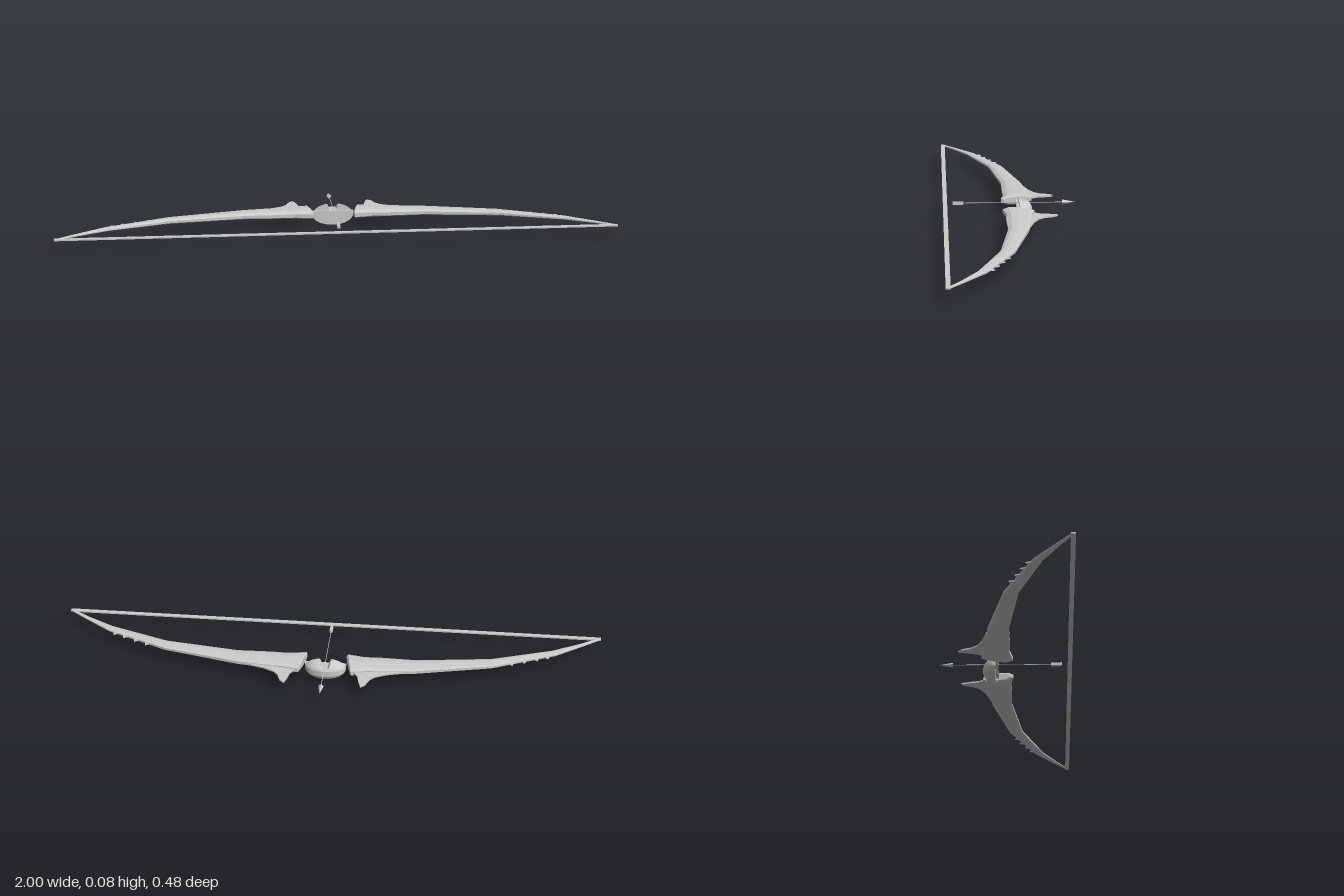
import * as THREE from 'three';
import { toCreasedNormals } from 'three/addons/utils/BufferGeometryUtils.js';

const grey = new THREE.MeshStandardMaterial({ color: 0xcccccc });
const flat = new THREE.MeshStandardMaterial({ color: 0xcccccc, flatShading: true, side: THREE.DoubleSide });
const LIMB_Y = 0.053;

function add(parent, name, geometry, material, x = 0, y = 0, z = 0) {
  const mesh = new THREE.Mesh(geometry, material);
  mesh.name = name;
  mesh.position.set(x, y, z);
  parent.add(mesh);
  return mesh;
}

// Lofts a bevelled section along the limb; each station: outer x,z, inner x,z, half height
function limbGeometry() {
  const stations = [
    [0.094, -0.088, 0.072, 0.012, 0.013],
    [0.097, -0.09, 0.075, 0.024, 0.0175],
    [0.155, -0.078, 0.14, 0.013, 0.0165],
    [0.2, -0.075, 0.2, 0.016, 0.0145],
    [0.325, -0.06, 0.33, 0.014, 0.0125],
    [0.6, 0.002, 0.6, 0.052, 0.0095],
    [0.83, 0.103, 0.82, 0.132, 0.006],
    [0.93, 0.175, 0.92, 0.188, 0.004],
    [0.995, 0.224, 0.985, 0.23, 0.003],
  ];
  // Position across the limb (0 outer, 1 inner) and relative height
  const section = [[0, 0.45], [0.15, 0.75], [0.55, 1], [0.82, 0.9], [1, 0.4],
    [1, -0.4], [0.82, -0.9], [0.55, -1], [0.15, -0.75], [0, -0.45]];
  const n = section.length;
  const position = [];
  const index = [];
  for (const [ox, oz, ix, iz, h] of stations) {
    for (const [t, v] of section) position.push(ox + (ix - ox) * t, v * h, oz + (iz - oz) * t);
  }
  for (let s = 0; s < stations.length - 1; s++) {
    for (let k = 0; k < n; k++) {
      const a = s * n + k, b = s * n + (k + 1) % n;
      index.push(a, b, a + n, b, b + n, a + n);
    }
  }
  const last = (stations.length - 1) * n;
  for (let k = 1; k < n - 1; k++) {
    index.push(0, k + 1, k, last, last + k, last + k + 1);
  }
  const geometry = new THREE.BufferGeometry();
  geometry.setAttribute('position', new THREE.Float32BufferAttribute(position, 3));
  geometry.setIndex(index);
  geometry.computeVertexNormals();
  return geometry;
}

// Thin fin drawn in the x-z plane
function finGeometry(points, thickness) {
  const shape = new THREE.Shape(points.map(([x, z]) => new THREE.Vector2(x, -z)));
  const geometry = new THREE.ExtrudeGeometry(shape, { depth: thickness, bevelEnabled: false });
  geometry.translate(0, 0, -thickness / 2);
  return geometry.rotateX(-Math.PI / 2);
}

function makeLimb(name) {
  const limb = new THREE.Group();
  limb.name = name;
  add(limb, 'limbBody', limbGeometry(), flat);
  add(limb, 'limbSpike', finGeometry([
    [0.098, -0.075], [0.11, -0.092], [0.122, -0.108], [0.128, -0.14], [0.138, -0.172], [0.154, -0.158],
    [0.166, -0.125], [0.185, -0.103], [0.225, -0.084], [0.29, -0.066], [0.29, -0.055], [0.1, -0.06],
  ], 0.006), flat);
  // Small barbs along the outer edge
  for (const x of [0.67, 0.715, 0.76, 0.8]) {
    const z = 0.002 + (x - 0.6) * 0.44;
    add(limb, 'limbBarb', finGeometry([[x - 0.012, z], [x + 0.006, z - 0.013], [x + 0.012, z + 0.008]], 0.004), flat);
  }
  limb.position.y = LIMB_Y;
  return limb;
}

// Half ellipsoid, flat towards the string, with an arrow notch cut into its top
function gripGeometry() {
  const geometry = new THREE.SphereGeometry(1, 64, 40);
  const p = geometry.attributes.position;
  for (let i = 0; i < p.count; i++) {
    const x = p.getX(i) * 0.075;
    const notch = 0.017 + Math.max(0, Math.abs(x) - 0.013) * 3;
    p.setXYZ(i, x, Math.min(p.getY(i) * 0.04, notch), Math.min(p.getZ(i), 0) * 0.047);
  }
  return toCreasedNormals(geometry, 0.6);
}

export function createModel() {
  const bow = new THREE.Group();
  bow.name = 'bow';

  // The limb is symmetric in height, so a half turn mirrors it
  bow.add(makeLimb('leftLimb'));
  const right = makeLimb('rightLimb');
  right.rotation.z = Math.PI;
  bow.add(right);

  add(bow, 'grip', gripGeometry(), grey, 0, 0.04, -0.04);
  add(bow, 'gripBar', new THREE.BoxGeometry(0.15, 0.012, 0.012), grey, 0, 0.05, -0.036);
  add(bow, 'string', new THREE.BoxGeometry(2, 0.005, 0.016), grey, 0, LIMB_Y, 0.231);

  // Arrow resting in the notch
  const arrow = new THREE.Group();
  arrow.name = 'arrow';
  arrow.position.y = 0.065;
  const shaft = add(arrow, 'arrowShaft', new THREE.CylinderGeometry(0.0012, 0.0012, 0.38, 8), grey, 0, 0, -0.01);
  shaft.rotation.x = Math.PI / 2;
  const head = add(arrow, 'arrowHead', new THREE.ConeGeometry(0.01, 0.048, 4), flat, 0, 0, -0.221);
  head.rotation.x = -Math.PI / 2;
  add(arrow, 'arrowFletching', new THREE.BoxGeometry(0.011, 0.011, 0.04), grey, 0, 0, 0.183);
  bow.add(arrow);
  return bow;
}
